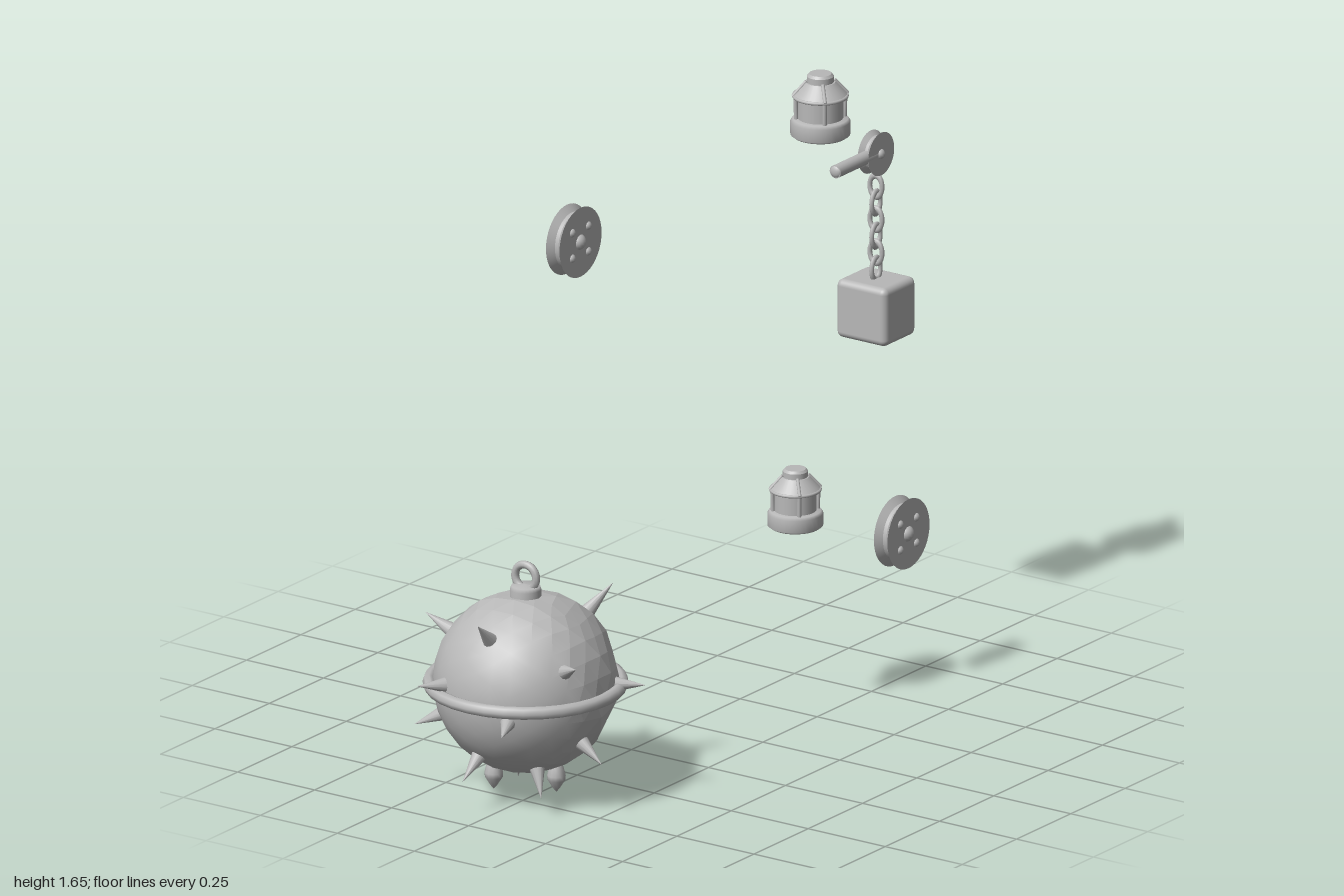
import * as THREE from 'three';
import { RoundedBoxGeometry } from 'three/addons/geometries/RoundedBoxGeometry.js';
import { mergeVertices } from 'three/addons/utils/BufferGeometryUtils.js';

const steel = new THREE.MeshStandardMaterial({ color: 0xb8b8b8 });
steel.name = 'steelGrey';

function add(parent, name, geometry, x = 0, y = 0, z = 0) {
  const mesh = new THREE.Mesh(geometry, steel);
  mesh.name = name;
  mesh.position.set(x, y, z);
  parent.add(mesh);
  return mesh;
}

function group(parent, name, x, y, z) {
  const g = new THREE.Group();
  g.name = name;
  g.position.set(x, y, z);
  parent.add(g);
  return g;
}

function lathe(profile, sides) {
  return new THREE.LatheGeometry(profile.map(p => new THREE.Vector2(...p)), sides);
}

// Crisp lathe: each profile segment becomes its own band
function bands(parent, name, profile, sides) {
  const g = group(parent, name, 0, 0, 0);
  for (let i = 0; i < profile.length - 1; i++) {
    add(g, name + 'Band', lathe([profile[i], profile[i + 1]], sides));
  }
  return g;
}

// Straight bar between two points
function bar(parent, name, a, b, r0, r1, sides) {
  const from = new THREE.Vector3(...a), to = new THREE.Vector3(...b);
  const dir = to.clone().sub(from);
  const m = add(parent, name, new THREE.CylinderGeometry(r1, r0, dir.length(), sides));
  m.position.copy(from).add(to).multiplyScalar(0.5);
  m.quaternion.setFromUnitVectors(new THREE.Vector3(0, 1, 0), dir.normalize());
}

// Round shell: smooth in front, hammered into facets towards the rear
function hammeredShell(radius) {
  let geo = new THREE.IcosahedronGeometry(radius, 4);
  geo.deleteAttribute('normal');
  geo.deleteAttribute('uv');
  geo = mergeVertices(geo);
  const v = new THREE.Vector3();
  const p = geo.attributes.position;
  for (let i = 0; i < p.count; i++) {
    v.fromBufferAttribute(p, i);
    const rear = THREE.MathUtils.smoothstep(0.12 - v.z, 0, 0.15);
    const dent = 0.004 * rear * (Math.sin(v.x * 37 + v.y * 23) + Math.sin(v.z * 41 - v.y * 31) - 0.4);
    v.setLength(radius + dent);
    p.setXYZ(i, v.x, v.y, v.z);
  }
  geo = geo.toNonIndexed();
  geo.computeVertexNormals();
  const q = geo.attributes.position;
  for (let i = 0; i < q.count; i++) {
    v.fromBufferAttribute(q, i).normalize();
    if (v.z > 0.45) geo.attributes.normal.setXYZ(i, v.x, v.y, v.z);
  }
  return geo;
}

function buildBall(root) {
  const ball = group(root, 'spikedBall', -0.023, 0.32, 0.705);
  add(ball, 'shell', hammeredShell(0.247));
  add(ball, 'equatorBand', new THREE.TorusGeometry(0.256, 0.018, 8, 32), 0, -0.003, 0).rotation.x = Math.PI / 2;
  add(ball, 'collar', lathe([[0.042, 0.22], [0.042, 0.258], [0.038, 0.268], [0, 0.272]], 24));
  add(ball, 'hangingEye', new THREE.TorusGeometry(0.034, 0.011, 8, 24), 0, 0.292, 0);

  // Spike tips, measured from the ball centre
  const tips = [
    [-0.275, 0.157, 0.07], [0.013, 0.222, 0.238], [0.254, 0.118, 0.13],
    [-0.15, 0.035, 0.285], [0.13, -0.052, 0.295], [-0.262, -0.135, 0.14],
    [-0.04, -0.225, 0.232], [0.275, -0.17, 0.04], [-0.1, -0.319, -0.107],
    [0.135, -0.27, 0.12], [-0.297, -0.02, -0.14], [0.3, 0.012, -0.125],
    [0.14, 0.245, -0.203], [-0.08, 0.08, -0.3], [0.1, -0.09, -0.29],
    [0.05, -0.21, -0.235]
  ];
  for (const t of tips) {
    const base = new THREE.Vector3(...t).setLength(0.225).toArray();
    bar(ball, 'spike', base, t, 0.025, 0.0005, 12);
  }

  // Three pointed bulbs under the ball
  const bulb = [[0, -0.292], [0.008, -0.283], [0.024, -0.258], [0.025, -0.245], [0.02, -0.225], [0.012, -0.2]];
  for (let i = 0; i < 3; i++) {
    const a = i * Math.PI * 2 / 3;
    add(ball, 'bottomBulb', lathe(bulb, 12), 0.1 * Math.cos(a), 0, 0.087 * Math.sin(a));
  }
}

function buildLantern(root, x, y, z, scale) {
  const lamp = group(root, 'lantern', x, y, z);
  lamp.scale.setScalar(scale);
  add(lamp, 'base', lathe([[0, 0], [0.072, 0], [0.08, 0.006], [0.08, 0.042], [0.074, 0.05], [0.055, 0.052]], 32));
  bands(lamp, 'glass', [[0.061, 0.05], [0.061, 0.115]], 24);
  bands(lamp, 'roof', [[0.05, 0.11], [0.072, 0.11], [0.072, 0.117], [0.04, 0.152], [0.036, 0.152],
    [0.036, 0.168], [0.03, 0.175], [0, 0.175]], 32);
  const hoop = add(lamp, 'hoop', new THREE.TorusGeometry(0.071, 0.005, 8, 32), 0, 0.113, 0);
  hoop.rotation.x = Math.PI / 2;
  for (let i = 0; i < 4; i++) {
    const a = (i + 0.5) * Math.PI / 2, c = Math.cos(a), s = Math.sin(a);
    bar(lamp, 'cagePost', [0.065 * c, 0.045, 0.065 * s], [0.067 * c, 0.113, 0.067 * s], 0.006, 0.006, 8);
    bar(lamp, 'roofRib', [0.074 * c, 0.115, 0.074 * s], [0.038 * c, 0.155, 0.038 * s], 0.005, 0.005, 8);
  }
}

// Flat-faced grooved wheel turning on the x axis
function wheel(parent, name, x, y, z, r, half, groove) {
  const g = group(parent, name, x, y, z);
  const disc = bands(g, 'groovedDisc', [[0, -half], [r, -half], [r - groove, -half * 0.25],
    [r - groove, half * 0.25], [r, half], [0, half]], 40);
  disc.rotation.z = -Math.PI / 2;
  return g;
}

function buildWheel(root, x, y, z) {
  const g = wheel(root, 'pulleyWheel', x, y, z, 0.097, 0.022, 0.018);
  for (const side of [-1, 1]) {
    add(g, 'hub', new THREE.SphereGeometry(0.023, 16, 12), side * 0.013, 0, 0);
    for (const sy of [-1, 1]) for (const sz of [-1, 1]) {
      add(g, 'bolt', new THREE.SphereGeometry(0.013, 12, 8), side * 0.017, sy * 0.036, sz * 0.037);
    }
  }
}

function buildHoist(root) {
  const hoist = group(root, 'chainHoist', -0.023, 0, -0.908);
  // Small pulley on its arm
  const p = wheel(hoist, 'chainPulley', 0, 1.343, 0, 0.06, 0.017, 0.012);
  for (const s of [-1, 1]) add(p, 'axleCap', new THREE.SphereGeometry(0.015, 12, 8), s * 0.012, 0, 0);
  bar(hoist, 'arm', [0, 1.343, 0], [0, 1.343, 0.188], 0.018, 0.018, 16);
  add(hoist, 'armTip', new THREE.SphereGeometry(0.018, 16, 12), 0, 1.343, 0.183).scale.z = 0.6;

  // Alternating links
  for (let i = 0; i < 6; i++) {
    const link = add(hoist, 'chainLink', new THREE.TorusGeometry(0.02, 0.0065, 8, 20), 0, 1.25 - i * 0.0465, 0);
    link.scale.y = 1.5;
    link.rotation.y = (i % 2) * Math.PI / 2;
  }

  // Hanging weight with rivets on the back
  const w = group(hoist, 'weight', 0, 0.911, 0);
  add(w, 'block', new RoundedBoxGeometry(0.163, 0.163, 0.146, 4, 0.018));
  for (let i = -1; i <= 1; i++) for (let j = -1; j <= 1; j++) {
    if (i || j) add(w, 'rivet', new THREE.SphereGeometry(0.0125, 12, 8), i * 0.042, j * 0.042, -0.078);
  }
}

export function createModel() {
  const root = new THREE.Group();
  root.name = 'hangingGear';
  buildBall(root);
  buildLantern(root, -0.023, 1.465, -0.652, 1);
  buildLantern(root, 0.192, 0.53, -0.232, 0.93);
  buildWheel(root, 0.084, 1.558, 0.635);
  buildWheel(root, 0.299, 0.438, -0.57);
  buildHoist(root);
  return root;
}
